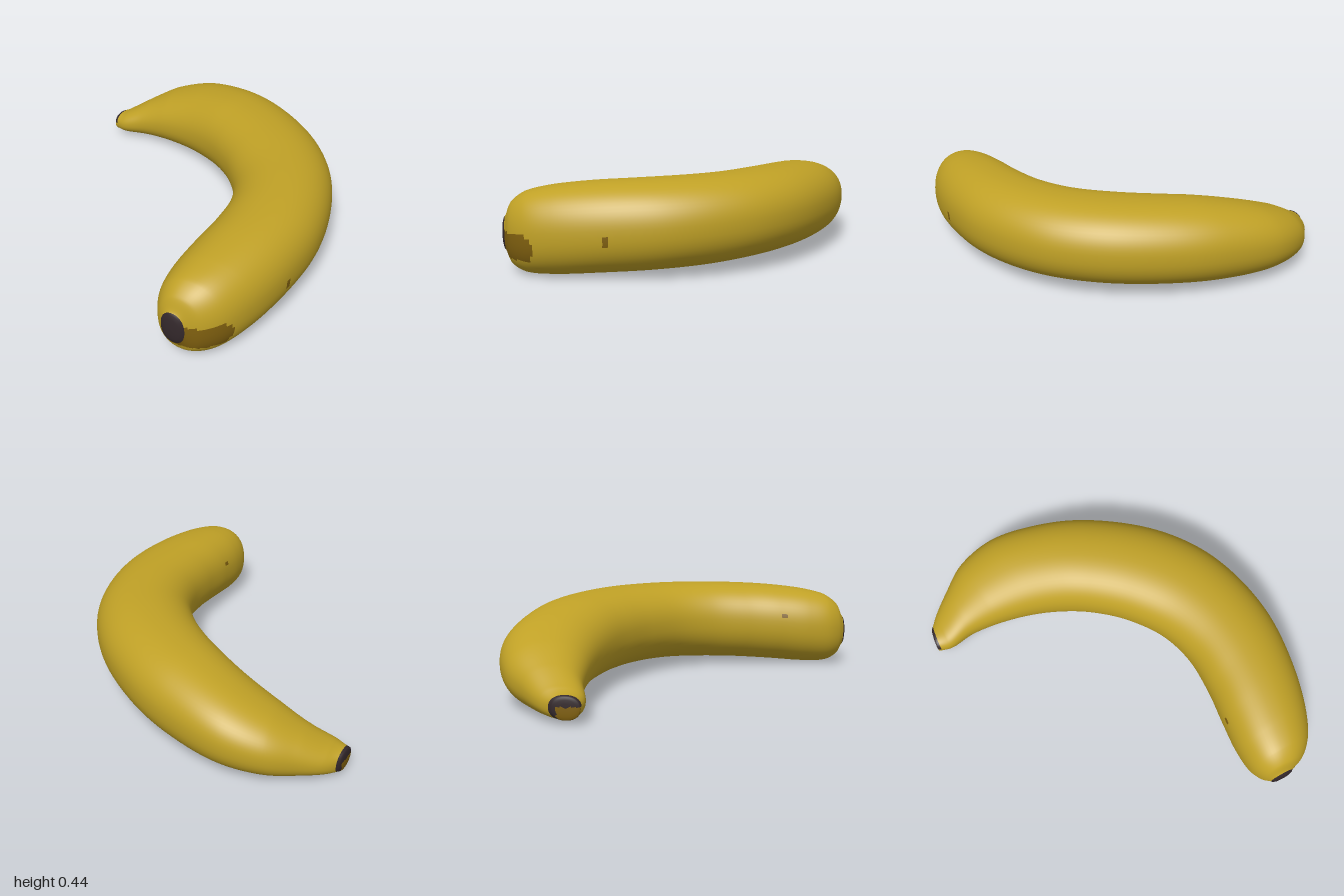
import * as THREE from 'three';

// Cross-sections from stem to blossom end: inner x,z, outer x,z, bottom y, top y
const STATIONS = [
  [-0.37, -0.92, -0.275, -0.995, 0.02, 0.12],
  [-0.335, -0.86, -0.2, -1.0, 0.015, 0.145],
  [-0.24, -0.78, -0.08, -0.985, 0.01, 0.21],
  [-0.15, -0.66, 0.07, -0.955, 0.01, 0.285],
  [-0.06, -0.5, 0.24, -0.84, 0.012, 0.355],
  [0.0, -0.34, 0.39, -0.61, 0.018, 0.405],
  [0.03, -0.2, 0.48, -0.38, 0.028, 0.425],
  [0.04, -0.03, 0.53, -0.05, 0.035, 0.435],
  [0.01, 0.17, 0.5, 0.22, 0.035, 0.436],
  [-0.07, 0.33, 0.41, 0.44, 0.028, 0.435],
  [-0.2, 0.47, 0.26, 0.65, 0.02, 0.43],
  [-0.33, 0.58, 0.06, 0.82, 0.01, 0.42],
  [-0.44, 0.68, -0.14, 0.94, 0.0, 0.4],
  [-0.51, 0.77, -0.28, 0.99, 0.005, 0.37],
  [-0.53, 0.835, -0.38, 0.99, 0.04, 0.32],
  [-0.528, 0.88, -0.45, 0.96, 0.095, 0.255],
];
const LENGTH = 150, AROUND = 64;

const track = (k) => new THREE.CatmullRomCurve3(
  STATIONS.map((s) => new THREE.Vector3(s[k], s[k + 1], 0)), false, 'centripetal');

// Rounded, slightly squarish section
const soft = (v) => Math.sign(v) * Math.pow(Math.abs(v), 0.9);

export function createModel() {
  const group = new THREE.Group();
  group.name = 'banana';

  const inner = track(0), outer = track(2);
  // Heights run on their own evenly spaced curve
  const heightAt = (t, k) => {
    const f = t * (STATIONS.length - 1);
    const i = Math.min(Math.floor(f), STATIONS.length - 2), w = f - i;
    const at = (n) => STATIONS[Math.max(0, Math.min(STATIONS.length - 1, n))][k];
    const [a, b, c, d] = [at(i - 1), at(i), at(i + 1), at(i + 2)];
    return b + 0.5 * w * (c - a + w * (2 * a - 5 * b + 4 * c - d + w * (3 * (b - c) + d - a)));
  };

  // Ring list: position along the fruit, scale, push along the end direction
  const rings = [[0, 0, 0.006], [0, 0.4, 0.006], [0, 0.7, 0.005], [0, 0.92, 0.003]];
  const stemRings = rings.length;
  for (let i = 0; i <= LENGTH; i++) rings.push([i / LENGTH, 1, 0]);
  const blossomStart = rings.length - 1;
  rings.push([1, 0.9, 0.006], [1, 0.65, 0.011], [1, 0.35, 0.013], [1, 0, 0.014]);

  const positions = [];
  for (const [t, scale, push] of rings) {
    const a = inner.getPoint(t), b = outer.getPoint(t);
    const low = heightAt(t, 4), high = heightAt(t, 5);
    const dir = new THREE.Vector2(a.y - b.y, b.x - a.x).normalize();
    const s = push * (t === 0 ? -1 : 1);
    for (let j = 0; j < AROUND; j++) {
      const angle = (j / AROUND) * Math.PI * 2;
      const u = soft(Math.cos(angle)) * scale / 2, v = soft(Math.sin(angle)) * scale / 2;
      positions.push(
        (a.x + b.x) / 2 + (b.x - a.x) * u + dir.x * s,
        (low + high) / 2 + (high - low) * v,
        (a.y + b.y) / 2 + (b.y - a.y) * u + dir.y * s);
    }
  }

  // Choose the part each face belongs to
  const specks = [new THREE.Vector3(0.05, 0.19, 0.83), new THREE.Vector3(-0.34, 0.27, 0.59)];
  const partOf = (ring, p) => {
    if (ring >= blossomStart) return 'blossomTip';
    if (ring < stemRings + 2) {
      if (p.y > 0.075 || p.x > -0.295) return 'stemTip';
      return ring < stemRings ? 'stemCut' : 'peel';
    }
    // Bruise tapering to a point beside the blossom tip
    const reach = p.x < -0.28 ? 0.06 : 0.06 - (p.x + 0.28) * 1.1;
    if (p.z > 0.9 && p.x < -0.24 && Math.abs(p.y - 0.14) < reach) return 'bruise';
    if (specks.some((s) => s.distanceTo(p) < 0.016)) return 'specks';
    return 'peel';
  };

  const faces = { peel: [], stemTip: [], stemCut: [], blossomTip: [], bruise: [], specks: [] };
  const all = [];
  const corner = (i) => new THREE.Vector3().fromArray(positions, i * 3);
  for (let i = 0; i < rings.length - 1; i++) {
    for (let j = 0; j < AROUND; j++) {
      const k = (j + 1) % AROUND;
      const a = i * AROUND + j, b = i * AROUND + k, c = a + AROUND, d = b + AROUND;
      const mid = corner(a).add(corner(b)).add(corner(c)).add(corner(d)).multiplyScalar(0.25);
      const quad = [a, b, c, b, d, c];
      faces[partOf(i, mid)].push(...quad);
      all.push(...quad);
    }
  }

  // Shared smooth normals keep the parts seamless
  const whole = new THREE.BufferGeometry();
  whole.setAttribute('position', new THREE.Float32BufferAttribute(positions, 3));
  whole.setIndex(all);
  whole.computeVertexNormals();

  const paint = (name, color) => {
    const m = new THREE.MeshStandardMaterial({ color });
    m.name = name;
    return m;
  };
  const yellow = paint('ripe yellow', 0xc0a126);
  const brown = paint('bruise brown', 0x80600f);
  const dark = paint('dark brown', 0x33282b);
  const colours = {
    peel: yellow, stemTip: dark, stemCut: brown, blossomTip: dark, bruise: brown, specks: brown,
  };

  for (const [name, index] of Object.entries(faces)) {
    if (!index.length) continue;
    const geometry = new THREE.BufferGeometry();
    geometry.setAttribute('position', whole.attributes.position);
    geometry.setAttribute('normal', whole.attributes.normal);
    geometry.setIndex(index);
    const mesh = new THREE.Mesh(geometry, colours[name]);
    mesh.name = name;
    group.add(mesh);
  }
  return group;
}
